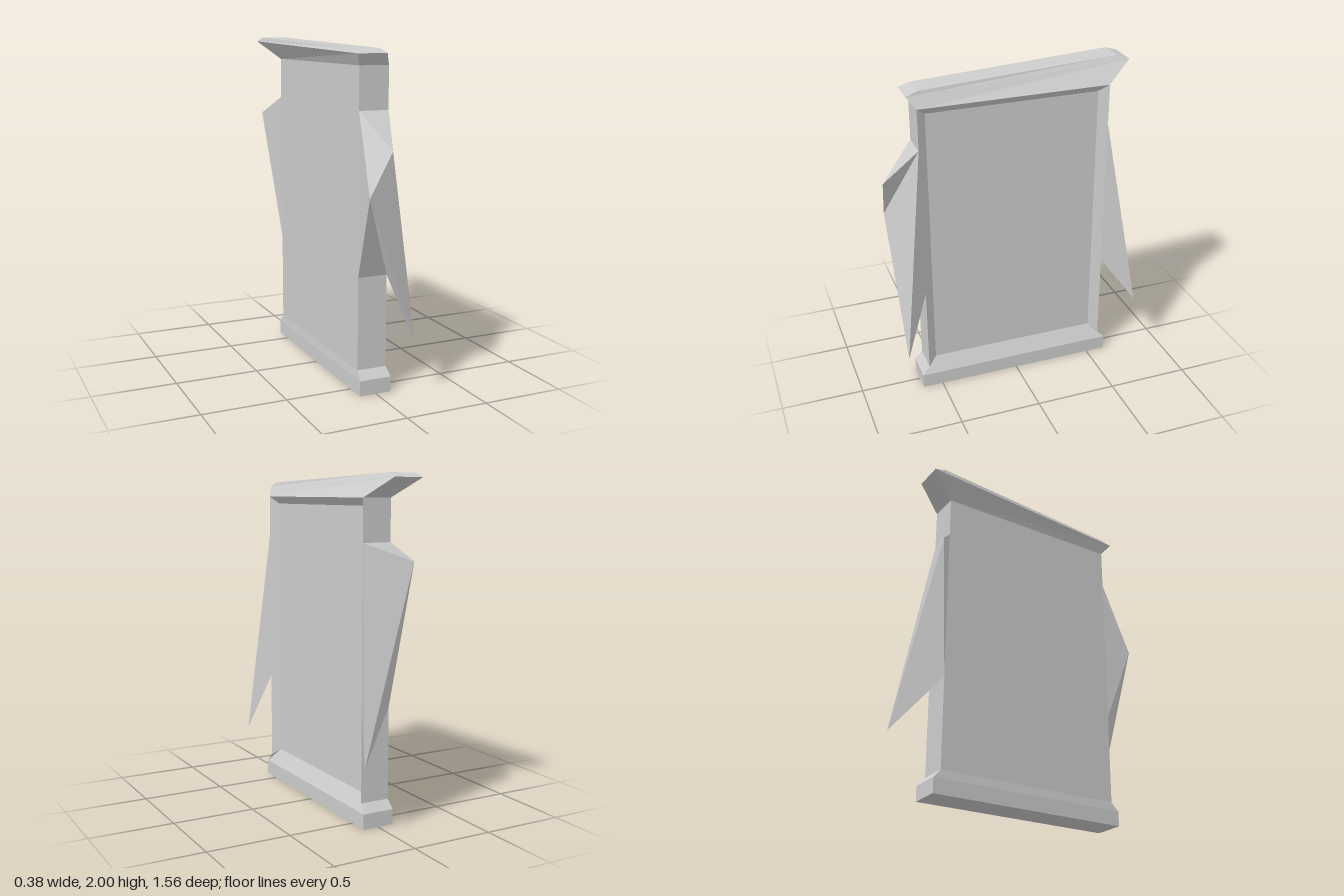
import * as THREE from 'three';

const stone = new THREE.MeshStandardMaterial({ color: 0xcccccc });
stone.name = 'stone grey';

// Flat-faced mesh from corner points and polygons listed counterclockwise
function facets(name, points, faces) {
  const pos = [];
  for (const f of faces)
    for (let i = 1; i < f.length - 1; i++)
      pos.push(...points[f[0]], ...points[f[i]], ...points[f[i + 1]]);
  const geo = new THREE.BufferGeometry();
  geo.setAttribute('position', new THREE.Float32BufferAttribute(pos, 3));
  geo.computeVertexNormals();
  const mesh = new THREE.Mesh(geo, stone);
  mesh.name = name;
  return mesh;
}

// Four corners, given as [x0, x1, z, y] for the front and back edges
const ring = ([fx0, fx1, fz, fy], [bx0, bx1, bz, by]) =>
  [[fx1, fy, fz], [bx1, by, bz], [bx0, by, bz], [fx0, fy, fz]];
const level = (x0, x1, z, y) => ring([x0, x1, z, y], [x0, x1, -z, y]);

// Side faces joining two rings; `from` = 1 leaves the +x side open
function band(a, b, from = 0) {
  const faces = [];
  for (let i = from; i < 4; i++) {
    const j = (i + 1) % 4;
    faces.push([a + i, a + j, b + j, b + i]);
  }
  return faces;
}

export function createModel() {
  const group = new THREE.Group();
  group.name = 'brokenWallPanel';

  const bottom = level(-0.095, 0.085, 0.58, 0.14);
  const top = level(-0.095, 0.085, 0.58, 1.865);
  const panelLow = [[0.045, 0.185, 0.525], [0.045, 0.185, -0.525]];
  const panelHigh = [[0.045, 1.82, -0.525], [0.045, 1.82, 0.525]];

  // Plinth, its sloped top running up to the recessed panel
  group.add(facets('base',
    [...level(-0.1, 0.095, 0.625, 0), ...level(-0.1, 0.095, 0.625, 0.09), ...bottom, ...panelLow],
    [[3, 2, 1, 0], ...band(0, 4), ...band(4, 8, 1), [4, 5, 13, 12], [4, 12, 8], [5, 9, 13]]));

  // Slab with a bevelled recess on the +x side
  group.add(facets('slab',
    [...bottom, ...top, ...panelLow, ...panelHigh],
    [...band(0, 4, 1), [8, 9, 10, 11], [0, 8, 11, 4], [9, 1, 5, 10], [11, 10, 5, 4]]));

  // Skewed coping that rises and leans towards the back
  group.add(facets('cap',
    [...top,
      ...ring([-0.13, 0.05, 0.63, 1.93], [-0.195, -0.01, -0.745, 1.975]),
      ...ring([-0.12, 0.04, 0.56, 1.955], [-0.185, -0.025, -0.67, 2.0])],
    [...band(0, 4), ...band(4, 8), [8, 9, 10, 11]]));

  // Edge corners where each shard joins the slab
  const joint = (z) => [[-0.095, 1.62, z], [0.085, 1.62, z], [-0.095, 0.685, z], [0.085, 0.685, z]];

  // Front shard: two upper points and a long hanging tip
  group.add(facets('frontShard',
    [...joint(0.58), [0.01, 1.415, 0.78], [-0.115, 1.165, 0.76], [0.19, 0.31, 0.73]],
    [[0, 4, 1], [0, 5, 4], [0, 2, 5], [1, 4, 5], [1, 5, 6], [1, 6, 3], [2, 3, 5], [5, 3, 6]]));

  // Back shard: one upper point and a hanging tip
  group.add(facets('backShard',
    [...joint(-0.58), [-0.195, 1.515, -0.67], [0.185, 0.41, -0.78]],
    [[1, 4, 0], [1, 5, 4], [4, 5, 2], [0, 4, 2], [1, 3, 5], [5, 3, 2]]));

  return group;
}
